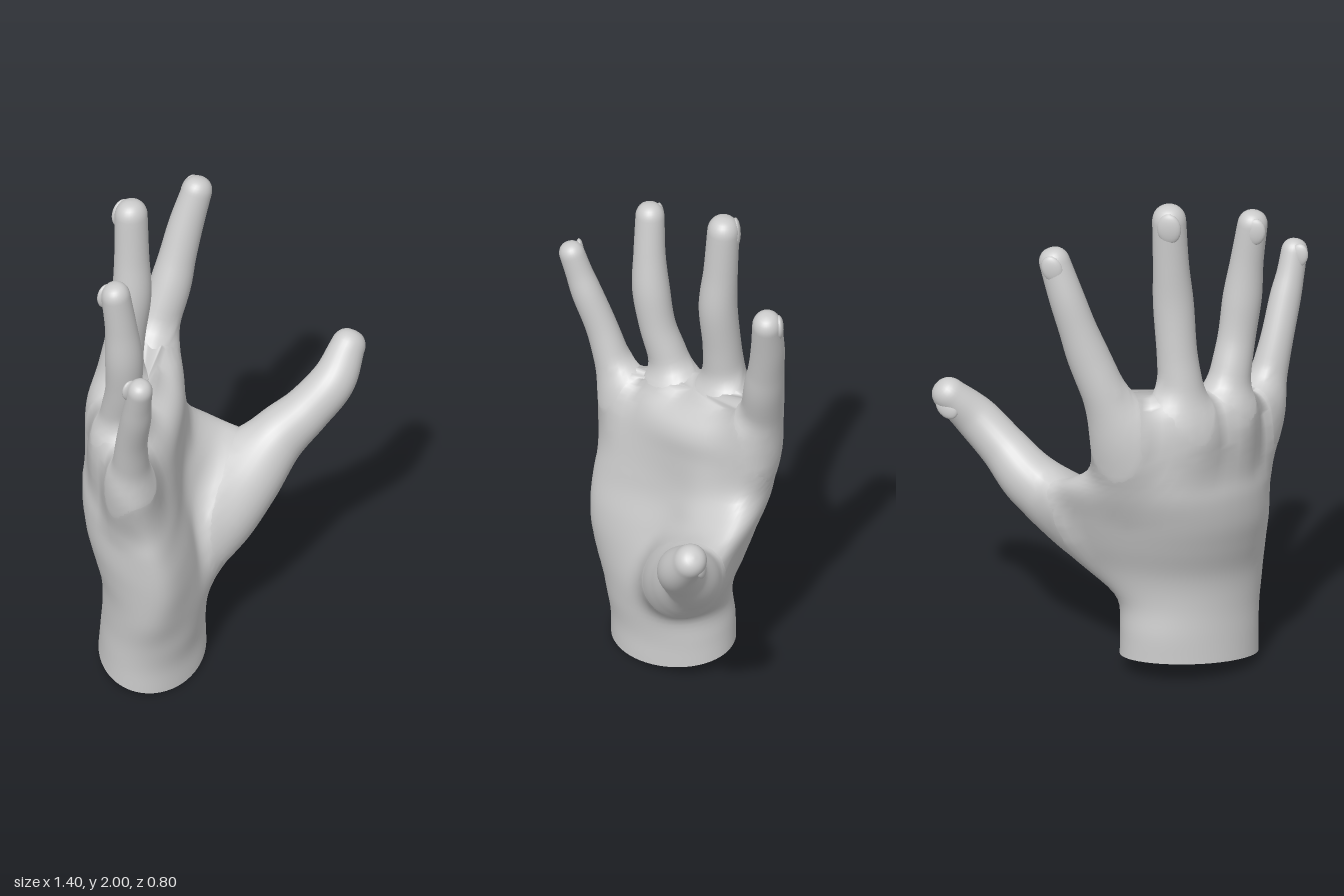
import * as THREE from 'three';

const skin = new THREE.MeshStandardMaterial({ color: 0xcccccc, side: THREE.DoubleSide });
const V = (x, y, z) => new THREE.Vector3(x, y, z);
const spline = (points) => new THREE.CatmullRomCurve3(points, false, 'catmullrom', 0.5);

// Smooth skin over closed rings of equal size, with the last ring capped.
function loft(name, rings) {
  const n = rings[0].length, last = rings.length - 1;
  const centre = rings[last].reduce((sum, p) => sum.add(p), V(0, 0, 0)).divideScalar(n);
  const index = [];
  for (let i = 0; i < last; i++) {
    for (let j = 0; j < n; j++) {
      const a = i * n + j, b = i * n + (j + 1) % n;
      index.push(a, b, b + n, a, b + n, a + n);
    }
  }
  for (let j = 0; j < n; j++) index.push(last * n + j, last * n + (j + 1) % n, (last + 1) * n);
  const geometry = new THREE.BufferGeometry().setFromPoints([...rings.flat(), centre]);
  geometry.setIndex(index);
  geometry.computeVertexNormals();
  const mesh = new THREE.Mesh(geometry, skin);
  mesh.name = name;
  return mesh;
}

// Palm sections: height, then x,z of the little-finger edge, middle and thumb edge,
// then half thickness at those three places.
const PALM = [
  [0.045, -0.52, 0.175, -0.305, 0.00, -0.075, -0.16, 0.20, 0.20, 0.20],
  [0.15, -0.52, 0.18, -0.30, 0.00, -0.075, -0.155, 0.20, 0.195, 0.20],
  [0.27, -0.51, 0.215, -0.29, 0.01, -0.05, -0.12, 0.20, 0.20, 0.19],
  [0.40, -0.50, 0.265, -0.25, -0.005, 0.08, -0.02, 0.21, 0.215, 0.18],
  [0.52, -0.485, 0.295, -0.24, -0.04, 0.19, -0.01, 0.22, 0.23, 0.155],
  [0.63, -0.49, 0.30, -0.24, -0.075, 0.24, -0.03, 0.22, 0.235, 0.14],
  [0.74, -0.515, 0.285, -0.25, -0.11, 0.18, -0.12, 0.20, 0.225, 0.15],
  [0.83, -0.535, 0.265, -0.27, -0.115, 0.05, -0.21, 0.18, 0.21, 0.16],
  [0.95, -0.57, 0.245, -0.29, -0.105, 0.00, -0.275, 0.15, 0.195, 0.15],
  [1.05, -0.585, 0.22, -0.30, -0.10, -0.01, -0.285, 0.12, 0.18, 0.14],
  [1.11, -0.575, 0.195, -0.31, -0.10, -0.02, -0.285, 0.09, 0.14, 0.11],
  [1.14, -0.55, 0.17, -0.31, -0.11, -0.05, -0.28, 0.04, 0.06, 0.05],
];

function makePalm() {
  const edge = spline(PALM.map((r) => V(r[1], r[0], r[2])));
  const middle = spline(PALM.map((r) => V(r[3], r[0], r[4])));
  const thumbSide = spline(PALM.map((r) => V(r[5], r[0], r[6])));
  const thickness = spline(PALM.map((r) => V(r[7], r[8], r[9])));
  const rings = [], steps = 55, sides = 56;
  for (let i = 0; i <= steps; i++) {
    const t = i / steps;
    const p = edge.getPoint(t), m = middle.getPoint(t), q = thumbSide.getPoint(t);
    const w = thickness.getPoint(t), ring = [];
    const bend = q.clone().add(p).multiplyScalar(0.5).sub(m);
    const half = q.clone().sub(p).multiplyScalar(0.5);
    for (let j = 0; j < sides; j++) {
      const a = (j / sides) * Math.PI * 2, s = Math.cos(a);
      const along = half.clone().addScaledVector(bend, 2 * s).setY(0).normalize();
      const thick = w.y + s * (w.z - w.x) / 2 + s * s * ((w.z + w.x) / 2 - w.y);
      // the palm side is hollowed between the two pads, the back falls away at the webs
      const relief = Math.sin(a) < 0
        ? 1 - 0.27 * (1 - s * s) ** 2 * Math.sin(Math.PI * t) ** 2
        : 1 - 0.35 * t ** 6;
      const d = thick * Math.sin(a) * relief;
      const point = m.clone().addScaledVector(half, s).addScaledVector(bend, s * s);
      point.add(V(along.z * d, 0, -along.x * d));
      point.y -= (0.2 + 0.08 * t ** 4) * point.z; // sections slope down toward the palm side
      ring.push(point);
    }
    rings.push(ring);
  }
  return loft('palm', rings);
}

// Each digit: direction its nail faces, and path points x, y, z, radius.
const DIGITS = {
  littleFinger: { back: V(-0.6, 0, -0.8), path: [
    [-0.52, 0.82, 0.13, 0.05], [-0.545, 0.97, 0.165, 0.078], [-0.57, 1.11, 0.2, 0.074],
    [-0.60, 1.27, 0.245, 0.064], [-0.623, 1.42, 0.30, 0.061], [-0.638, 1.51, 0.33, 0.054],
    [-0.648, 1.59, 0.355, 0.051]] },
  ringFinger: { back: V(-0.4, 0, -0.9), path: [
    [-0.43, 0.84, -0.01, 0.05], [-0.445, 1.02, -0.02, 0.092], [-0.46, 1.2, 0.0, 0.081],
    [-0.48, 1.36, 0.045, 0.073], [-0.498, 1.52, 0.068, 0.075], [-0.515, 1.67, 0.072, 0.064],
    [-0.537, 1.825, 0.068, 0.058]] },
  middleFinger: { back: V(-0.15, 0, -1), path: [
    [-0.32, 0.84, -0.15, 0.05], [-0.32, 1.02, -0.18, 0.104], [-0.31, 1.2, -0.195, 0.091],
    [-0.29, 1.38, -0.185, 0.078], [-0.273, 1.58, -0.168, 0.078], [-0.265, 1.75, -0.177, 0.069],
    [-0.26, 1.935, -0.187, 0.065]] },
  indexFinger: { back: V(0.1, 0, -1), path: [
    [-0.13, 0.8, -0.23, 0.05], [-0.1, 1.0, -0.285, 0.097], [-0.05, 1.2, -0.313, 0.088],
    [0.03, 1.4, -0.315, 0.082], [0.072, 1.52, -0.32, 0.073], [0.115, 1.65, -0.322, 0.068],
    [0.16, 1.785, -0.315, 0.06]] },
  thumb: { back: V(0.45, -0.2, -0.85), path: [
    [-0.15, 0.4, 0.02, 0.08], [0.0, 0.5, 0.02, 0.125], [0.15, 0.605, 0.0, 0.13],
    [0.3, 0.72, -0.015, 0.115], [0.42, 0.83, 0.03, 0.095], [0.53, 0.935, 0.055, 0.087],
    [0.625, 1.035, 0.025, 0.068]] },
};

function makeDigit(name, { back, path }) {
  const group = new THREE.Group();
  group.name = name;
  const curve = spline(path.map((p) => V(p[0], p[1], p[2])));
  const radius = spline(path.map((p) => V(p[3], 0, 0)));
  const frame = (t) => {
    const along = curve.getTangent(t);
    const out = back.clone().addScaledVector(along, -back.dot(along)).normalize();
    return { along, out, across: out.clone().cross(along) };
  };
  const rings = [], sides = 28, steps = 44, dome = 8;
  const addRing = (centre, r, { across, out }) => {
    const ring = [];
    for (let j = 0; j < sides; j++) {
      const a = (j / sides) * Math.PI * 2;
      ring.push(centre.clone().addScaledVector(across, r * Math.cos(a)).addScaledVector(out, r * 0.95 * Math.sin(a)));
    }
    rings.push(ring);
  };
  for (let i = 0; i <= steps; i++) addRing(curve.getPoint(i / steps), radius.getPoint(i / steps).x, frame(i / steps));

  // blunt, rounded tip
  const end = curve.getPoint(1), tip = frame(1), r = path[path.length - 1][3];
  for (let i = 1; i <= dome; i++) {
    const a = (i / (dome + 0.2)) * Math.PI / 2;
    addRing(end.clone().addScaledVector(tip.along, r * Math.sin(a)), r * Math.cos(a) ** 0.8, tip);
  }
  group.add(loft(name + 'Flesh', rings));

  // nail, a thin oval plate set into the back of the tip
  const nail = new THREE.Mesh(new THREE.SphereGeometry(1, 20, 12), skin);
  nail.name = name + 'Nail';
  nail.scale.set(r * 0.72, r * 0.95, r * 0.3);
  nail.quaternion.setFromRotationMatrix(new THREE.Matrix4().makeBasis(tip.across, tip.along, tip.out));
  nail.position.copy(end).addScaledVector(tip.out, r * 0.75).addScaledVector(tip.along, -r * 0.15);
  group.add(nail);
  return group;
}

// Vertices of a mesh as point and normal pairs.
function samples({ geometry: { attributes: { position, normal } } }) {
  return Array.from({ length: position.count }, (_, i) => ({
    point: V(0, 0, 0).fromBufferAttribute(position, i),
    normal: V(0, 0, 0).fromBufferAttribute(normal, i),
  }));
}

// Swell a skin where it meets its neighbours, so that the joint reads as soft webbing.
function fillet(mesh, own, neighbours, reach) {
  const { geometry } = mesh, { position } = geometry.attributes;
  const blends = own.map(({ point, normal }, i) => {
    let nearest = neighbours[0], best = Infinity;
    for (const other of neighbours) {
      const d = other.point.distanceToSquared(point);
      if (d < best) { best = d; nearest = other; }
    }
    const depth = point.clone().sub(nearest.point).dot(nearest.normal);
    const aside = Math.sqrt(Math.max(0, best - depth * depth));
    const gap = Math.hypot(depth, Math.max(0, aside - 0.03));
    const weight = Math.max(0, 1 - gap / reach) ** 2;
    const moved = point.clone().addScaledVector(normal, weight * reach / 4);
    position.setXYZ(i, moved.x, moved.y, moved.z);
    return { weight, toward: nearest.normal };
  });
  geometry.computeVertexNormals();
  const { normal } = geometry.attributes;
  blends.forEach(({ weight, toward }, i) => {
    const n = V(0, 0, 0).fromBufferAttribute(normal, i).addScaledVector(toward, weight).normalize();
    normal.setXYZ(i, n.x, n.y, n.z);
  });
}

export function createModel() {
  const hand = new THREE.Group();
  hand.name = 'hand';
  const palm = makePalm();
  const digits = Object.entries(DIGITS).map(([name, digit]) => makeDigit(name, digit));
  hand.add(palm, ...digits);

  // blend the digits into the palm
  const flesh = digits.map((digit) => digit.children[0]);
  const palmSkin = samples(palm), digitSkins = flesh.map(samples);
  fillet(palm, palmSkin, digitSkins.flat(), 0.11);
  flesh.forEach((mesh, i) => fillet(mesh, digitSkins[i], palmSkin, 0.11));
  return hand;
}
